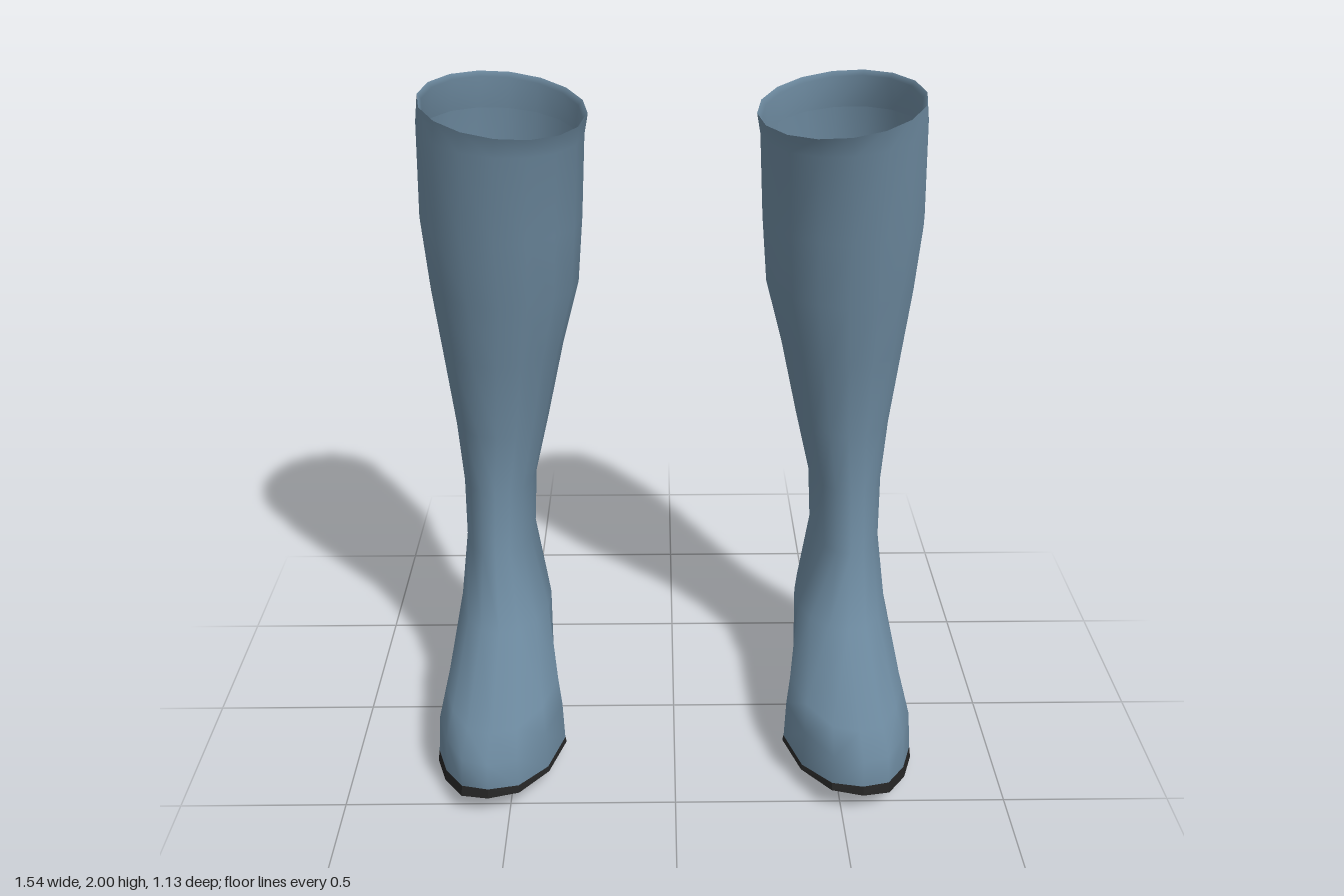
import * as THREE from 'three';

const N = 16;
const leather = new THREE.MeshStandardMaterial({ color: 0x69859a, side: THREE.DoubleSide });
leather.name = 'slate blue leather';
const rubber = new THREE.MeshStandardMaterial({ color: 0x232323 });
rubber.name = 'black rubber';

// Foot outline [x, z], from the toe around the outer side to the heel and back
const FOOT = [
  [0.56, 0.555], [0.64, 0.53], [0.70, 0.43], [0.735, 0.32], [0.735, 0.18], [0.71, 0],
  [0.68, -0.2], [0.65, -0.39], [0.57, -0.45], [0.49, -0.41], [0.455, -0.25], [0.42, -0.02],
  [0.375, 0.13], [0.345, 0.26], [0.39, 0.41], [0.47, 0.53],
];

const lerp = THREE.MathUtils.lerp;

// Piecewise linear height along z
function heightAt(table, z) {
  for (let i = 1; i < table.length; i++) {
    const [z0, y0] = table[i - 1], [z1, y1] = table[i];
    if (z <= z1) return lerp(y0, y1, THREE.MathUtils.clamp((z - z0) / (z1 - z0), 0, 1));
  }
  return table[table.length - 1][1];
}
const SEAM = [[-0.45, 0.13], [-0.2, 0.115], [0.1, 0.075], [0.38, 0.065], [0.555, 0.1]];
const TREAD = [[-0.45, 0.1], [-0.2, 0.075], [0, 0.04], [0.2, 0.025], [0.4, 0.035], [0.555, 0.06]];

// Tilted ring fitted between back and front points [z, y] and inner and outer x.
// foot = 0 gives an ellipse, 1 the foot outline; roll lifts the outer side.
function ring(inner, outer, back, front, foot = 0, roll = 0) {
  return FOOT.map(([fx, fz], i) => {
    const a = (i / N) * Math.PI * 2;
    const u = lerp(Math.sin(a), (fx - 0.54) / 0.195, foot);
    const v = lerp(Math.cos(a), (fz - 0.0525) / 0.5025, foot);
    return [
      lerp(inner, outer, (u + 1) / 2),
      lerp(back[1], front[1], (v + 1) / 2) + roll * u,
      lerp(back[0], front[0], (v + 1) / 2),
    ];
  });
}

// Skin over rings stacked upwards, optionally closed at both ends
function loft(rings, side, capped = false) {
  const index = [];
  const quad = (a, b, c, d) => {
    if (side > 0) index.push(a, b, c, a, c, d);
    else index.push(a, c, b, a, d, c);
  };
  for (let j = 0; j < rings.length - 1; j++) {
    for (let i = 0; i < N; i++) {
      const k = (i + 1) % N;
      quad(j * N + i, j * N + k, (j + 1) * N + k, (j + 1) * N + i);
    }
  }
  if (capped) {
    const top = (rings.length - 1) * N;
    for (let i = 0; i < N / 2; i++) {
      const l = (N - i) % N, m = N - i - 1;
      quad(m, i + 1, i, l);
      quad(top + l, top + i, top + i + 1, top + m);
    }
  }
  let g = new THREE.BufferGeometry();
  const pos = rings.flat().flatMap(([x, y, z]) => [x * side, y, z]);
  g.setAttribute('position', new THREE.Float32BufferAttribute(pos, 3));
  g.setIndex(index);
  if (capped) g = g.toNonIndexed();
  g.computeVertexNormals();
  return g;
}

function makeBoot(side) {
  const boot = new THREE.Group();
  boot.name = side > 0 ? 'leftBoot' : 'rightBoot';
  const add = (name, geometry, material) => {
    const mesh = new THREE.Mesh(geometry, material);
    mesh.name = name;
    boot.add(mesh);
  };

  // Foot, ankle and shaft in one skin
  const rim = ring(0.25, 0.75, [-0.56, 1.99], [0.02, 1.93], 0, 0.03);
  const upper = [
    FOOT.map(([x, z]) => [x, heightAt(SEAM, z), z]),
    ring(0.352, 0.728, [-0.495, 0.19], [0.545, 0.185], 1),
    ring(0.365, 0.715, [-0.49, 0.25], [0.46, 0.235], 0.85),
    ring(0.4, 0.7, [-0.478, 0.33], [0.11, 0.365], 0.25),
    ring(0.455, 0.678, [-0.458, 0.55], [-0.02, 0.57]),
    ring(0.445, 0.68, [-0.455, 0.75], [-0.065, 0.77]),
    ring(0.4, 0.7, [-0.475, 0.95], [-0.095, 0.95]),
    ring(0.345, 0.73, [-0.505, 1.2], [-0.07, 1.2]),
    ring(0.292, 0.755, [-0.535, 1.4], [-0.048, 1.4]),
    ring(0.275, 0.772, [-0.555, 1.62], [-0.028, 1.6]),
    ring(0.262, 0.762, [-0.562, 1.9], [-0.002, 1.87], 0, 0.02),
    rim,
  ];
  add('upper', loft(upper, side), leather);

  // Folded edge inside the opening
  const fold = [
    rim,
    ring(0.265, 0.738, [-0.546, 1.975], [0.004, 1.915], 0, 0.03),
    ring(0.276, 0.748, [-0.55, 1.88], [-0.018, 1.85], 0, 0.02),
  ];
  add('rimFold', loft(fold, side), leather);

  // Sole, a little wider than the foot and rolled toward the outer side
  const soleRing = (grow, y) => FOOT.map(([x, z]) =>
    [0.54 + (x - 0.54) * grow, y(x, z), 0.05 + (z - 0.05) * grow]);
  const sole = [
    soleRing(0.92, (x, z) => heightAt(TREAD, z) - (x - 0.54) * 0.1),
    soleRing(1.02, (x, z) => (heightAt(TREAD, z) + heightAt(SEAM, z)) / 2 - (x - 0.54) * 0.06),
    soleRing(1.0, (x, z) => heightAt(SEAM, z) + 0.004),
  ];
  add('sole', loft(sole, side, true), rubber);

  // Heel block
  const heel = [
    ring(0.49, 0.65, [-0.42, 0.05], [-0.22, 0.05]),
    ring(0.475, 0.665, [-0.445, 0.075], [-0.2, 0.068]),
    ring(0.48, 0.66, [-0.44, 0.122], [-0.19, 0.11]),
  ];
  add('heel', loft(heel, side, true), rubber);
  return boot;
}

export function createModel() {
  const model = new THREE.Group();
  model.name = 'tallBoots';
  model.add(makeBoot(1), makeBoot(-1));
  return model;
}
